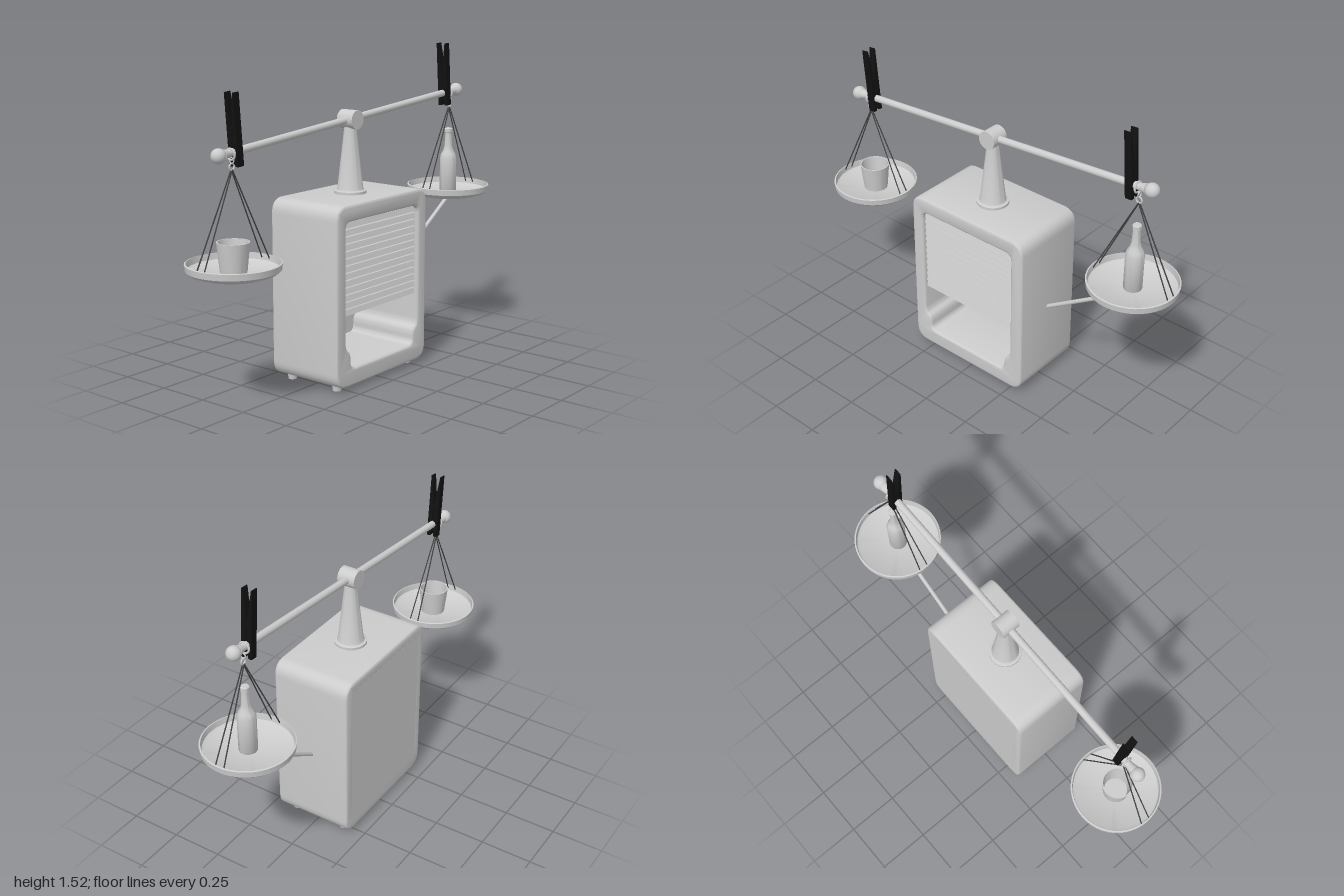
import * as THREE from 'three';
import { toCreasedNormals } from 'three/addons/utils/BufferGeometryUtils.js';

const shell = new THREE.MeshStandardMaterial({ color: 0xcccccc, side: THREE.DoubleSide });
shell.name = 'light grey';
const black = new THREE.MeshStandardMaterial({ color: 0x111111 });
black.name = 'black';
const dark = new THREE.MeshStandardMaterial({ color: 0x444444 });
dark.name = 'dark grey';

const V = (x, y, z = 0) => new THREE.Vector3(x, y, z);

function add(parent, name, geometry, material, x = 0, y = 0, z = 0) {
  const mesh = new THREE.Mesh(geometry, material);
  mesh.name = name;
  mesh.position.set(x, y, z);
  parent.add(mesh);
  return mesh;
}

function lathe(points, segments = 40) {
  const geo = new THREE.LatheGeometry(points.map(([r, y]) => new THREE.Vector2(r, y)), segments);
  return toCreasedNormals(geo, 0.6);
}

// Thin cylinder between two points
function rod(parent, name, a, b, radius, material, sides = 12) {
  const dir = b.clone().sub(a);
  const mesh = add(parent, name, new THREE.CylinderGeometry(radius, radius, dir.length(), sides), material);
  mesh.position.copy(a).add(b).multiplyScalar(0.5);
  mesh.quaternion.setFromUnitVectors(V(0, 1), dir.normalize());
  return mesh;
}

// Polygon with every corner rounded
function roundedPath(path, corners, radius) {
  const n = corners.length;
  corners.forEach(([x, y], i) => {
    const toward = ([px, py]) => {
      const d = new THREE.Vector2(px - x, py - y);
      return d.setLength(Math.min(radius, d.length() * 0.45)).add(new THREE.Vector2(x, y));
    };
    const a = toward(corners[(i + n - 1) % n]);
    const b = toward(corners[(i + 1) % n]);
    if (i) path.lineTo(a.x, a.y);
    else path.moveTo(a.x, a.y);
    path.quadraticCurveTo(x, y, b.x, b.y);
  });
  path.closePath();
  return path;
}

function buildCabinet(root) {
  const cabinet = new THREE.Group();
  cabinet.name = 'cabinet';
  root.add(cabinet);

  // Hollow case with a stepped window
  const outline = roundedPath(new THREE.Shape(), [[-0.343, 0.024], [0.327, 0.024], [0.327, 0.864], [-0.343, 0.864]], 0.07);
  outline.holes.push(roundedPath(new THREE.Path(), [
    [-0.278, 0.787], [0.26, 0.787], [0.26, 0.205], [0.225, 0.18],
    [0.225, 0.108], [-0.243, 0.108], [-0.243, 0.18], [-0.278, 0.205],
  ], 0.035));
  const caseGeo = new THREE.ExtrudeGeometry(outline, {
    depth: 0.368, bevelThickness: 0.012, bevelSize: 0.012, bevelOffset: -0.012, bevelSegments: 3, curveSegments: 8,
  });
  caseGeo.translate(0, 0, -0.184);
  add(cabinet, 'case', toCreasedNormals(caseGeo, 0.6), shell);
  add(cabinet, 'backPanel', new THREE.BoxGeometry(0.58, 0.74, 0.025), shell, -0.009, 0.447, -0.1837);

  // Louvred shutter: one saw-tooth cross-section swept across the window
  const slats = 13, low = 0.355, pitch = (0.79 - low) / slats;
  const profile = new THREE.Shape();
  profile.moveTo(0.15, low);
  for (let i = 0; i < slats; i++) {
    profile.lineTo(0.18, low + i * pitch);
    profile.lineTo(0.172, low + (i + 0.75) * pitch);
    profile.lineTo(0.16, low + (i + 1) * pitch);
  }
  profile.lineTo(0.15, 0.79);
  const shutter = new THREE.ExtrudeGeometry(profile, { depth: 0.538, bevelEnabled: false });
  shutter.translate(0, 0, -0.269);
  add(cabinet, 'shutter', shutter, shell, -0.009).rotation.y = -Math.PI / 2;

  for (const x of [-0.273, 0.257]) {
    for (const z of [-0.135, 0.135]) {
      add(cabinet, 'foot', new THREE.CylinderGeometry(0.024, 0.02, 0.03, 20), shell, x, 0.015, z);
    }
  }
}

// One half of a clothes peg, drawn in (z, y) with a groove that grips the beam
function pegHalfGeometry() {
  const s = new THREE.Shape([
    [0.026, -0.062], [0.026, 0.25], [0.021, 0.25], [0.002, 0.11], [0.002, 0.016],
    [0.013, 0.012], [0.017, 0], [0.013, -0.012], [0.004, -0.02], [0.01, -0.062],
  ].map(([a, b]) => new THREE.Vector2(a, b)));
  const geo = new THREE.ExtrudeGeometry(s, { depth: 0.034, bevelEnabled: false });
  geo.translate(0, 0, -0.017);
  return geo;
}

function buildBeam(root) {
  const beam = new THREE.Group();
  beam.name = 'beam';
  beam.position.set(-0.01, 1.207, 0);
  beam.rotation.z = 0.08;
  root.add(beam);

  rod(beam, 'beamBar', V(-0.85, 0), V(0.85, 0), 0.017, shell, 24);
  add(beam, 'hub', new THREE.CylinderGeometry(0.044, 0.044, 0.088, 32), shell).rotation.x = Math.PI / 2;

  const half = pegHalfGeometry();
  for (const side of [-1, 1]) {
    add(beam, 'endBall', new THREE.SphereGeometry(0.033, 24, 16), shell, side * 0.86);
    add(beam, 'endCollar', new THREE.CylinderGeometry(0.024, 0.018, 0.025, 20), shell, side * 0.822)
      .rotation.z = -side * Math.PI / 2;
    add(beam, 'hangerLoop', new THREE.TorusGeometry(0.024, 0.005, 8, 24), shell, side * 0.79, -0.006)
      .rotation.y = Math.PI / 2;

    // Clothes peg: two halves and a spring
    const peg = new THREE.Group();
    peg.name = 'clothesPeg';
    peg.position.x = side * 0.758;
    beam.add(peg);
    for (const turn of [-1, 1]) {
      add(peg, 'pegHalf', half, black).rotation.y = turn * Math.PI / 2;
    }
    add(peg, 'pegSpring', new THREE.CylinderGeometry(0.011, 0.011, 0.042, 12), black, 0, 0.095)
      .rotation.z = Math.PI / 2;
  }
}

function buildPan(root, name, x, y, ringY) {
  const pan = new THREE.Group();
  pan.name = name;
  pan.position.set(x, y, 0);
  root.add(pan);

  add(pan, 'dish', lathe([
    [0, 0], [0.1, 0.004], [0.155, 0.013], [0.19, 0.025], [0.205, 0.038], [0.208, 0.066],
    [0.201, 0.068], [0.197, 0.04], [0.185, 0.032], [0, 0.024],
  ], 48), shell);

  // Ring and two pairs of cords
  const top = ringY - y;
  add(pan, 'ring', new THREE.TorusGeometry(0.014, 0.004, 8, 20), shell, 0, top);
  add(pan, 'ringLink', new THREE.TorusGeometry(0.012, 0.003, 8, 20), shell, 0, top + 0.026).rotation.y = Math.PI / 2;
  for (const sx of [-1, 1]) {
    for (const sz of [-1, 1]) {
      rod(pan, 'cord', V(0, top - 0.012, sz * 0.003), V(sx * 0.199, 0.05, sz * 0.022), 0.003, dark, 6);
    }
  }
  return pan;
}

export function createModel() {
  const root = new THREE.Group();
  root.name = 'balanceScale';

  buildCabinet(root);

  // Tapered post on a round base
  add(root, 'post', lathe([
    [0, 0.86], [0.076, 0.86], [0.076, 0.876], [0.064, 0.88], [0.06, 0.89], [0.027, 1.18], [0.024, 1.21],
  ]), shell, -0.01);

  buildBeam(root);

  // Cup on the low pan
  const leftPan = buildPan(root, 'lowPan', -0.791, 0.61, 1.085);
  add(leftPan, 'cup', lathe([
    [0, 0.024], [0.058, 0.024], [0.072, 0.156], [0.066, 0.156], [0.053, 0.035], [0, 0.035],
  ]), shell);

  // Bottle on the high pan
  const rightPan = buildPan(root, 'highPan', 0.788, 0.73, 1.205);
  add(rightPan, 'bottle', lathe([
    [0, 0.024], [0.039, 0.024], [0.042, 0.03], [0.042, 0.2], [0.036, 0.222], [0.025, 0.24], [0.02, 0.262],
    [0.016, 0.33], [0.02, 0.333], [0.02, 0.35], [0.015, 0.355], [0, 0.355],
  ], 32), shell);

  // Prop from the cabinet side to the underside of the high pan
  rod(root, 'propRod', V(0.318, 0.418), V(0.8, 0.737), 0.01, shell);

  return root;
}
